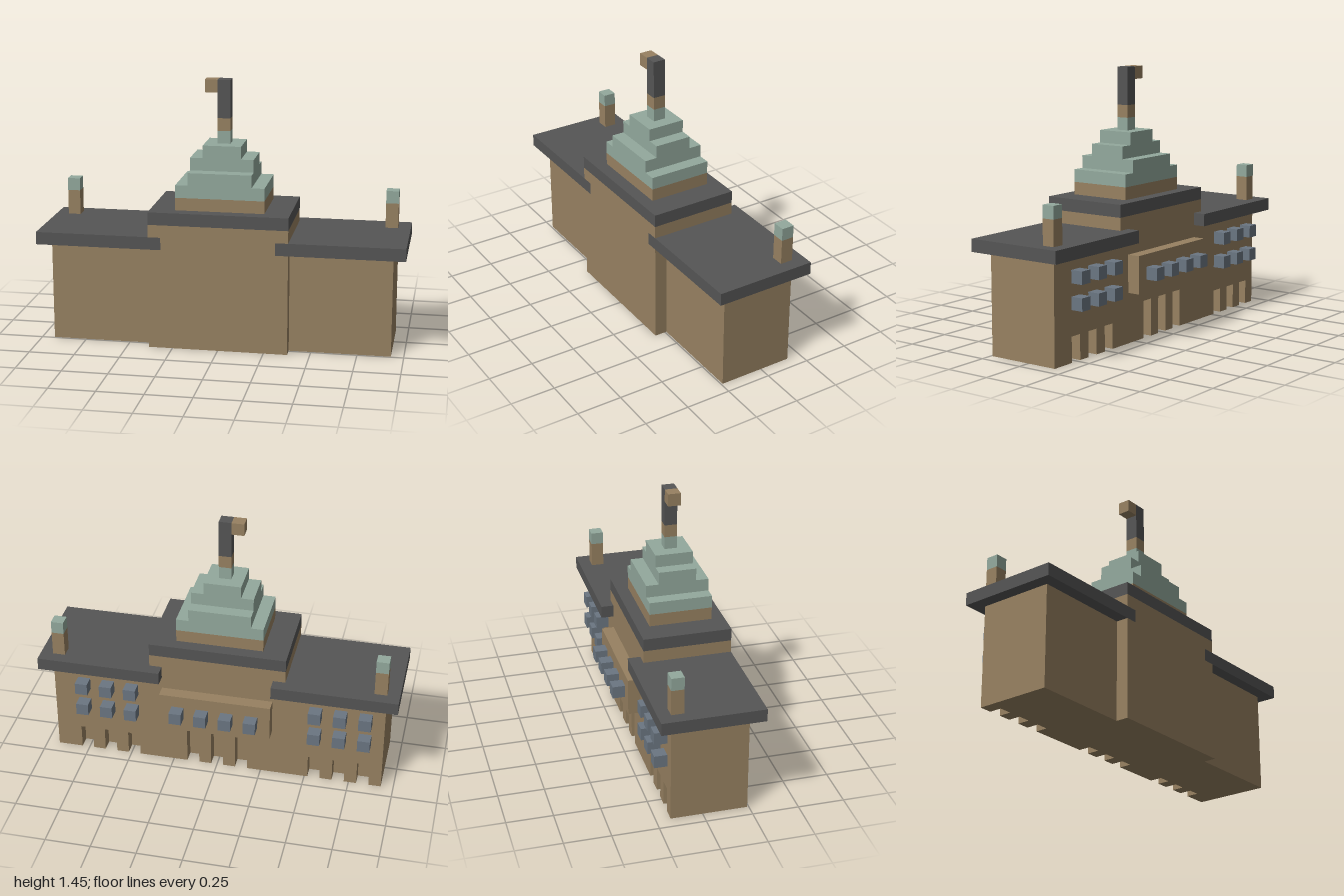
import * as THREE from 'three';

const U = 2 / 29; // one block

const material = (name, color) => {
  const m = new THREE.MeshStandardMaterial({ color });
  m.name = name;
  return m;
};

export function createModel() {
  const stone = material('tan stone', 0x978161);
  const slate = material('dark slate', 0x555555);
  const copper = material('green copper', 0x93a99d);
  const glass = material('blue grey glass', 0x6b7682);

  const model = new THREE.Group();
  model.name = 'cityHall';

  // Box from its lower and upper limits, in blocks
  const box = (name, mat, x0, x1, y0, y1, z0, z1) => {
    const geo = new THREE.BoxGeometry((x1 - x0) * U, (y1 - y0) * U, (z1 - z0) * U);
    const mesh = new THREE.Mesh(geo, mat);
    mesh.position.set((x0 + x1) / 2 * U, (y0 + y1) / 2 * U, (z0 + z1) / 2 * U);
    mesh.name = name;
    model.add(mesh);
  };

  // Main walls
  box('wings', stone, -13.5, 13.5, 0, 8, -1.5, 3.5);
  box('frontBay', stone, -5.5, 5.5, 0, 8, 3.5, 4.5);
  box('hallMiddle', stone, -4.5, 4.5, 8, 9, -2.5, 4.5);
  box('hallTop', stone, -5.5, 5.5, 9, 10, -2.5, 4.5);
  box('hallRoof', slate, -5.5, 5.5, 10, 11, -2.5, 4.5);

  // Rear wall with door recesses cut up from the ground: [centre x, height]
  const doors = [[-12, 2], [-10, 2], [-8, 2], [-2, 3], [0, 3], [2, 3], [7, 2], [9, 2], [11, 2]];
  const outline = new THREE.Shape();
  outline.moveTo(-13.5 * U, 0);
  for (const [x, h] of doors) {
    outline.lineTo((x - 0.5) * U, 0);
    outline.lineTo((x - 0.5) * U, h * U);
    outline.lineTo((x + 0.5) * U, h * U);
    outline.lineTo((x + 0.5) * U, 0);
  }
  outline.lineTo(13.5 * U, 0);
  outline.lineTo(13.5 * U, 8 * U);
  outline.lineTo(-13.5 * U, 8 * U);
  outline.closePath();
  const rearWall = new THREE.Mesh(
    new THREE.ExtrudeGeometry(outline, { depth: U, bevelEnabled: false }), stone);
  rearWall.position.z = -2.5 * U;
  rearWall.name = 'rearWallWithDoors';
  model.add(rearWall);

  // Wing roofs and chimneys
  for (const s of [-1, 1]) {
    const side = s > 0 ? 'left' : 'right';
    const span = (a, b) => (s > 0 ? [a, b] : [-b, -a]);
    box(side + 'WingRoof', slate, ...span(4.5, 14.5), 8, 9, -3.5, 4.5);
    box(side + 'Chimney', stone, ...span(12.5, 13.5), 9, 11, -2.5, -1.5);
    box(side + 'ChimneyCap', copper, ...span(12.5, 13.5), 11, 12, -2.5, -1.5);
  }

  // Rear bay and windows
  box('rearBay', stone, -4.5, 4.5, 4, 7, -3.5, -2.5);
  for (const x of [-3, -1, 1, 3]) box('bayWindow', glass, x - 0.5, x + 0.5, 5, 6, -4.5, -3.5);
  for (const x of [-12, -10, -8, 7, 9, 11])
    for (const y of [4, 6]) box('wingWindow', glass, x - 0.5, x + 0.5, y, y + 1, -3.5, -2.5);

  // Stepped tower
  box('towerBase', stone, -3.5, 3.5, 11, 12, -1.5, 3.5);
  box('towerStep', copper, -3.5, 3.5, 12, 13, -1.5, 3.5);
  box('towerStep', copper, -2.5, 2.5, 13, 14, -1.5, 3.5);
  box('towerStep', copper, -2.5, 2.5, 14, 15, -0.5, 2.5);
  box('towerStep', copper, -1.5, 1.5, 15, 16, -0.5, 2.5);

  // Flagpole
  box('poleFoot', copper, -0.5, 0.5, 16, 17, 0.5, 1.5);
  box('poleCollar', stone, -0.5, 0.5, 17, 18, 0.5, 1.5);
  box('pole', slate, -0.5, 0.5, 18, 21, 0.5, 1.5);
  box('flag', stone, -1.5, -0.5, 20, 21, 0.5, 1.5);

  return model;
}
